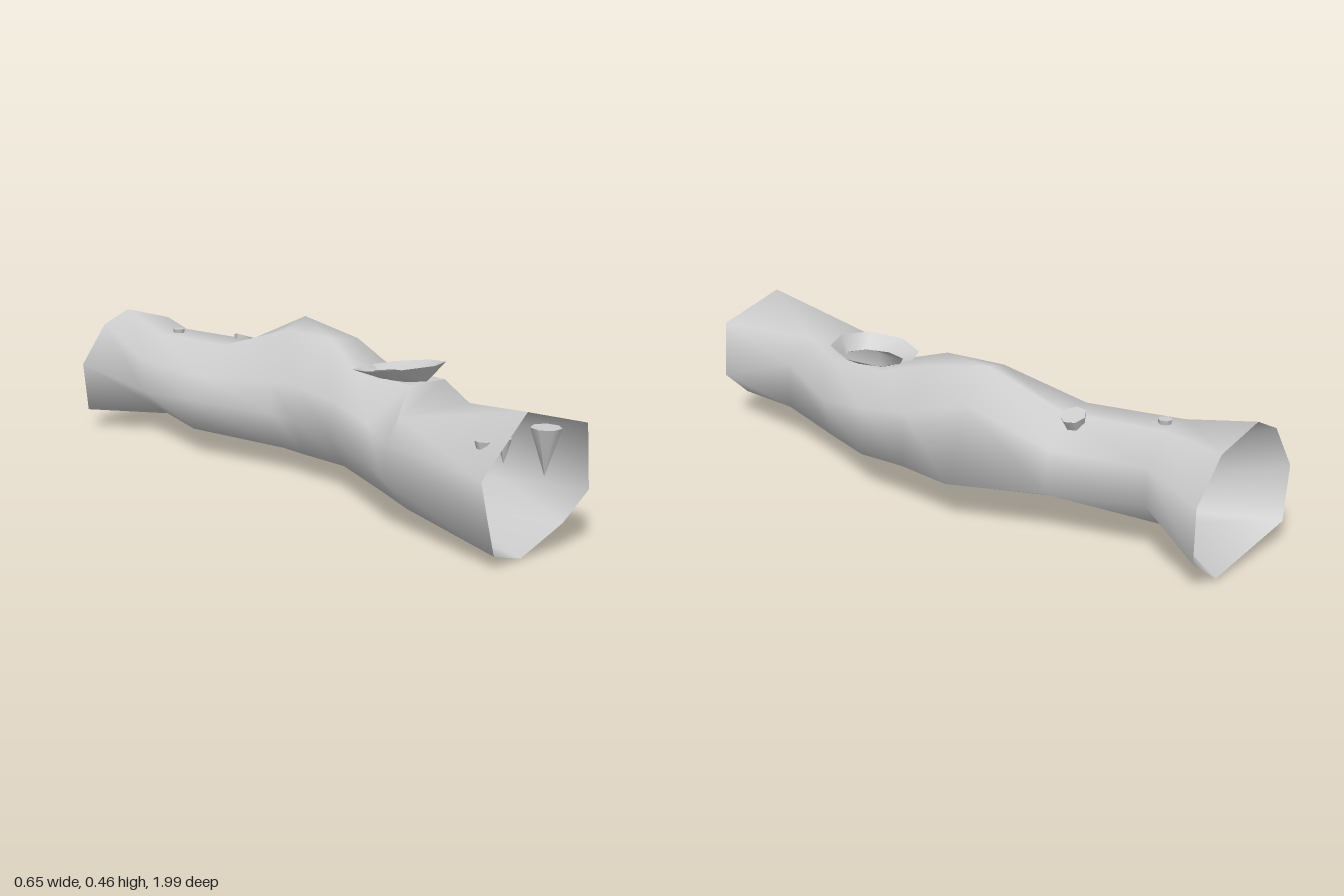
import * as THREE from 'three';

const material = new THREE.MeshStandardMaterial({ color: 0xcccccc, side: THREE.DoubleSide });
const SIDES = 8;

// One cross-section: [x, y] corners clockwise from the upper left, on a surface given by zAt(x, y).
const section = (zAt, corners) => corners.map(([x, y]) => [x, y, zAt(x, y)]);

// A regular cross-section that fits a left/right/bottom/top box.
function oval(z, left, right, bottom, top) {
  const k = 1 / Math.cos(Math.PI / SIDES);
  return Array.from({ length: SIDES }, (_, i) => {
    const a = Math.PI * (0.875 - i / 4);
    return [
      (left + right) / 2 + Math.cos(a) * k * (right - left) / 2,
      (bottom + top) / 2 + Math.sin(a) * k * (top - bottom) / 2,
      z,
    ];
  });
}

// Skin closed loops of equal length; quads for which skip(row, i) is true stay open.
function skin(name, loops, skip = () => false) {
  const n = loops[0].length;
  const index = [];
  for (let r = 0; r < loops.length - 1; r++) {
    for (let i = 0; i < n; i++) {
      if (skip(r, i)) continue;
      const a = r * n + i, b = r * n + (i + 1) % n;
      index.push(a, b, b + n, a, b + n, a + n);
    }
  }
  const geometry = new THREE.BufferGeometry();
  geometry.setAttribute('position', new THREE.Float32BufferAttribute(loops.flat(2), 3));
  geometry.setIndex(index);
  geometry.computeVertexNormals();
  const mesh = new THREE.Mesh(geometry, material);
  mesh.name = name;
  return mesh;
}

// Hanging cone with a flat top at (x, top, z), leaning sideways by an angle.
function stalactite(x, top, z, radius, height, lean) {
  const geometry = new THREE.ConeGeometry(radius, height, 7);
  geometry.rotateX(Math.PI).translate(0, -height / 2, 0);
  const mesh = new THREE.Mesh(geometry, material);
  mesh.position.set(x, top, z);
  mesh.rotation.z = lean;
  mesh.name = 'stalactite';
  return mesh;
}

export function createModel() {
  const model = new THREE.Group();
  model.name = 'caveTunnel';

  // Winding tunnel, front mouth to back mouth
  const rings = [
    section((x, y) => Math.min(0.99, 0.94 + 0.4 * y) + 0.02 * x, [[-0.327, 0.265], [-0.162, 0.412],
      [0.083, 0.345], [0.1, 0.16], [0.02, 0.08], [-0.11, 0.003], [-0.232, 0.041], [-0.3, 0.16]]),
    section((x) => 0.62 + 0.35 * x, [[-0.21, 0.25], [-0.175, 0.322], [0.03, 0.343], [0.115, 0.27],
      [0.118, 0.12], [-0.03, 0.055], [-0.15, 0.06], [-0.222, 0.15]]),
    section(() => 0.41, [[-0.15, 0.27], [0.02, 0.36], [0.17, 0.355], [0.22, 0.23],
      [0.185, 0.1], [0.04, 0.065], [-0.1, 0.07], [-0.175, 0.17]]),
    section(() => 0.19, [[-0.08, 0.29], [0.02, 0.365], [0.17, 0.36], [0.285, 0.27],
      [0.285, 0.12], [0.12, 0.068], [-0.03, 0.08], [-0.09, 0.18]]),
    section(() => 0.01, [[-0.055, 0.3], [0.085, 0.432], [0.2, 0.42], [0.295, 0.3],
      [0.308, 0.135], [0.14, 0.075], [-0.03, 0.08], [-0.07, 0.19]]),
    section((x, y) => -0.12 - 0.2 * x - 0.25 * (y - 0.19), [[-0.045, 0.29], [0.08, 0.435],
      [0.188, 0.463], [0.285, 0.37], [0.325, 0.13], [0.13, 0.085], [-0.03, 0.082], [-0.058, 0.19]]),
    section(() => -0.45, [[-0.085, 0.265], [0.02, 0.355], [0.14, 0.36], [0.215, 0.27],
      [0.228, 0.14], [0.1, 0.085], [-0.11, 0.09], [-0.122, 0.19]]),
    oval(-0.75, -0.1, 0.178, 0.085, 0.362),
    section((x) => -0.98 + 0.11 * x, [[-0.09, 0.37], [0.005, 0.415], [0.17, 0.37], [0.27, 0.25],
      [0.27, 0.09], [0.157, 0.007], [-0.165, 0.068], [-0.18, 0.235]]),
  ];
  const HOLE_ROW = 2, HOLE_SIDE = 1;
  model.add(skin('tunnelWall', rings, (r, i) => r === HOLE_ROW && i === HOLE_SIDE));

  // Roof around the opening: the gap's outline (corners and edge midpoints) narrowed to an oval
  const corners = [rings[2][1], rings[2][2], rings[3][2], rings[3][1]];
  const outline = corners.flatMap((p, i) => {
    const q = corners[(i + 1) % 4];
    return [p, p.map((v, k) => (v + q[k]) / 2)];
  });
  const loop = (cx, cz, rx, rz, yAt) => outline.map(([x, , z]) => {
    const a = Math.atan2((z - 0.3) / 0.11, (x - 0.095) / 0.075);
    return [cx + rx * Math.cos(a), yAt(Math.sin(a)), cz + rz * Math.sin(a)];
  });
  const opening = loop(0.095, 0.3, 0.073, 0.108, () => 0.359);
  model.add(skin('openingSurround', [opening, outline]));

  // Flared collar rising from the roof opening
  const rim = loop(0.092, 0.297, 0.135, 0.143, (s) => 0.39 + 0.02 * s);
  model.add(skin('roofOpeningCollar', [rim, opening]));

  // Stalactites: x, top, z, radius, height, lean
  const spikes = [
    [-0.235, 0.337, 0.91, 0.024, 0.105, 0],
    [-0.205, 0.345, 0.95, 0.02, 0.065, 0],
    [-0.012, 0.337, 0.93, 0.042, 0.132, 0],
    [0.15, 0.365, -0.49, 0.038, 0.188, -0.35],
    [0.04, 0.374, -0.72, 0.021, 0.124, 0],
  ];
  for (const s of spikes) model.add(stalactite(...s));

  return model;
}
